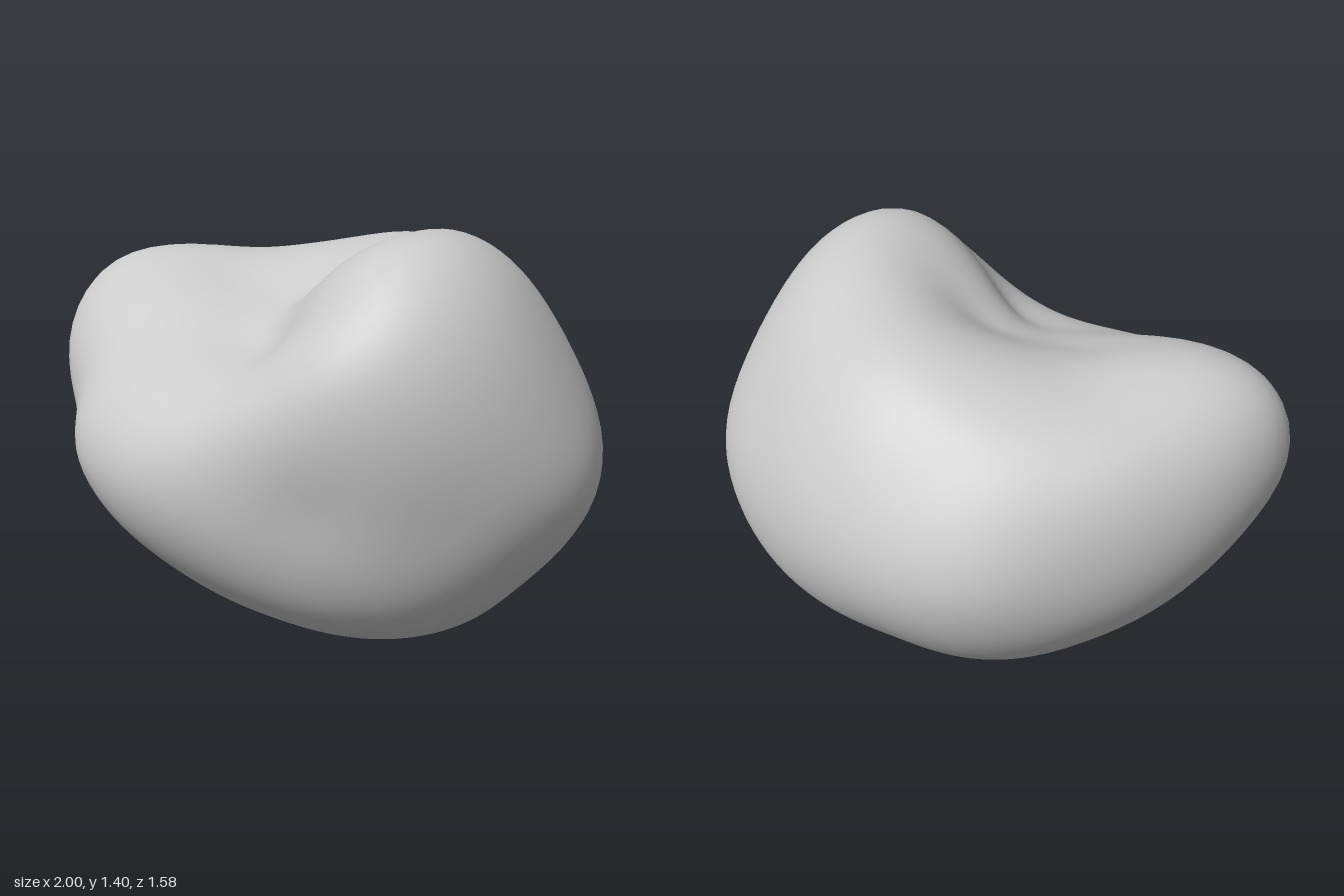
import * as THREE from 'three';
import { mergeVertices } from 'three/addons/utils/BufferGeometryUtils.js';

const CENTER = new THREE.Vector3(0, 0.6, 0);

// Control points the stone's skin passes through
const girth = [
  [1, 0.6, 0.03], [0.9, 0.65, -0.3], [0.5, 0.7, -0.64], [0.27, 0.7, -0.74],
  [-0.07, 0.72, -0.79], [-0.25, 0.75, -0.76], [-0.55, 0.8, -0.57], [-0.75, 0.85, -0.38],
  [-0.96, 0.9, -0.05], [-1, 0.88, 0.1], [-0.9, 0.82, 0.35], [-0.72, 0.75, 0.5],
  [-0.55, 0.66, 0.68], [-0.22, 0.63, 0.79], [0.1, 0.62, 0.76], [0.4, 0.62, 0.68],
  [0.75, 0.58, 0.47],
];
const underside = [
  [-0.87, 0.55, 0.1], [-0.5, 0.2, 0.05], [-0.22, 0.07, 0], [0.15, 0.01, 0], [0.4, 0.01, 0],
  [0.6, 0.07, 0], [0.77, 0.22, 0], [0.96, 0.48, 0.03], [0, 0.25, 0.62], [0.12, 0.09, 0.43],
  [0.2, 0.12, -0.35], [0.1, 0.37, -0.65], [0.6, 0.21, 0.41], [0.62, 0.29, -0.42],
  [0.35, 0.24, 0.57], [-0.25, 0.26, 0.58], [-0.55, 0.38, 0.51], [-0.52, 0.36, -0.42], [-0.22, 0.14, -0.35],
];
const crown = [
  [0.95, 0.87, 0], [0.85, 1.1, 0.05], [0.7, 1.32, 0.15], [0.5, 1.4, 0.18], [0.45, 1.38, 0],
  [0.43, 1.36, 0.38], [0.4, 1.23, 0.54], [0.32, 1.1, 0.63], [0.18, 0.9, 0.72],
  [0.33, 1.33, -0.18], [0.13, 1.28, -0.39], [0, 1.02, -0.67], [-0.2, 1.22, -0.38],
  [-0.45, 1.2, -0.2], [-0.65, 1.22, 0.05], [-0.89, 1.14, 0.1], [-0.83, 1.07, 0.3],
  [0.65, 1, -0.4], [-0.6, 1.08, -0.4],
];
const hollow = [
  [-0.1, 1.14, 0.08], [0.12, 1.2, 0.1], [-0.1, 1.0, 0.42], [-0.4, 1.05, 0.4],
  [0.15, 1.07, 0.46], [-0.35, 1.16, 0.1], [-0.18, 0.82, 0.72],
];

const kernel = (a, b) => Math.sqrt(a.distanceToSquared(b) + 0.025);

// Gauss-Jordan elimination with row pivoting
function solve(rows) {
  const n = rows.length;
  for (let c = 0; c < n; c++) {
    let p = c;
    for (let r = c + 1; r < n; r++) if (Math.abs(rows[r][c]) > Math.abs(rows[p][c])) p = r;
    [rows[c], rows[p]] = [rows[p], rows[c]];
    for (let r = 0; r < n; r++) {
      if (r === c) continue;
      const f = rows[r][c] / rows[c][c];
      for (let k = c; k <= n; k++) rows[r][k] -= f * rows[c][k];
    }
  }
  return rows.map((row, i) => row[n] / row[i]);
}

// Smooth radius over all directions, interpolated between the control points
function makeRadius(points) {
  const vectors = points.map((p) => new THREE.Vector3(...p).sub(CENTER));
  const dirs = vectors.map((v) => v.clone().normalize());
  const weights = solve(dirs.map((a, i) => [...dirs.map((b) => kernel(a, b)), vectors[i].length()]));
  return (d) => dirs.reduce((sum, b, i) => sum + weights[i] * kernel(d, b), 0);
}

export function createModel() {
  const radius = makeRadius([...girth, ...underside, ...crown, ...hollow]);

  // Seamless sphere pushed out to the stone's radius
  let geometry = new THREE.IcosahedronGeometry(1, 20);
  geometry.deleteAttribute('uv');
  geometry.deleteAttribute('normal');
  geometry = mergeVertices(geometry, 1e-4);
  const pos = geometry.attributes.position;
  const v = new THREE.Vector3();
  for (let i = 0; i < pos.count; i++) {
    v.fromBufferAttribute(pos, i).normalize();
    v.multiplyScalar(radius(v)).add(CENTER);
    pos.setXYZ(i, v.x, v.y, v.z);
  }

  // Centre the stone and rest it on the ground
  geometry.computeBoundingBox();
  const mid = geometry.boundingBox.getCenter(new THREE.Vector3());
  geometry.translate(-mid.x, -geometry.boundingBox.min.y, -mid.z);
  geometry.computeVertexNormals();

  const boulder = new THREE.Mesh(geometry, new THREE.MeshStandardMaterial({ color: 0xcccccc }));
  boulder.name = 'boulder';
  const group = new THREE.Group();
  group.name = 'rock';
  group.add(boulder);
  return group;
}
